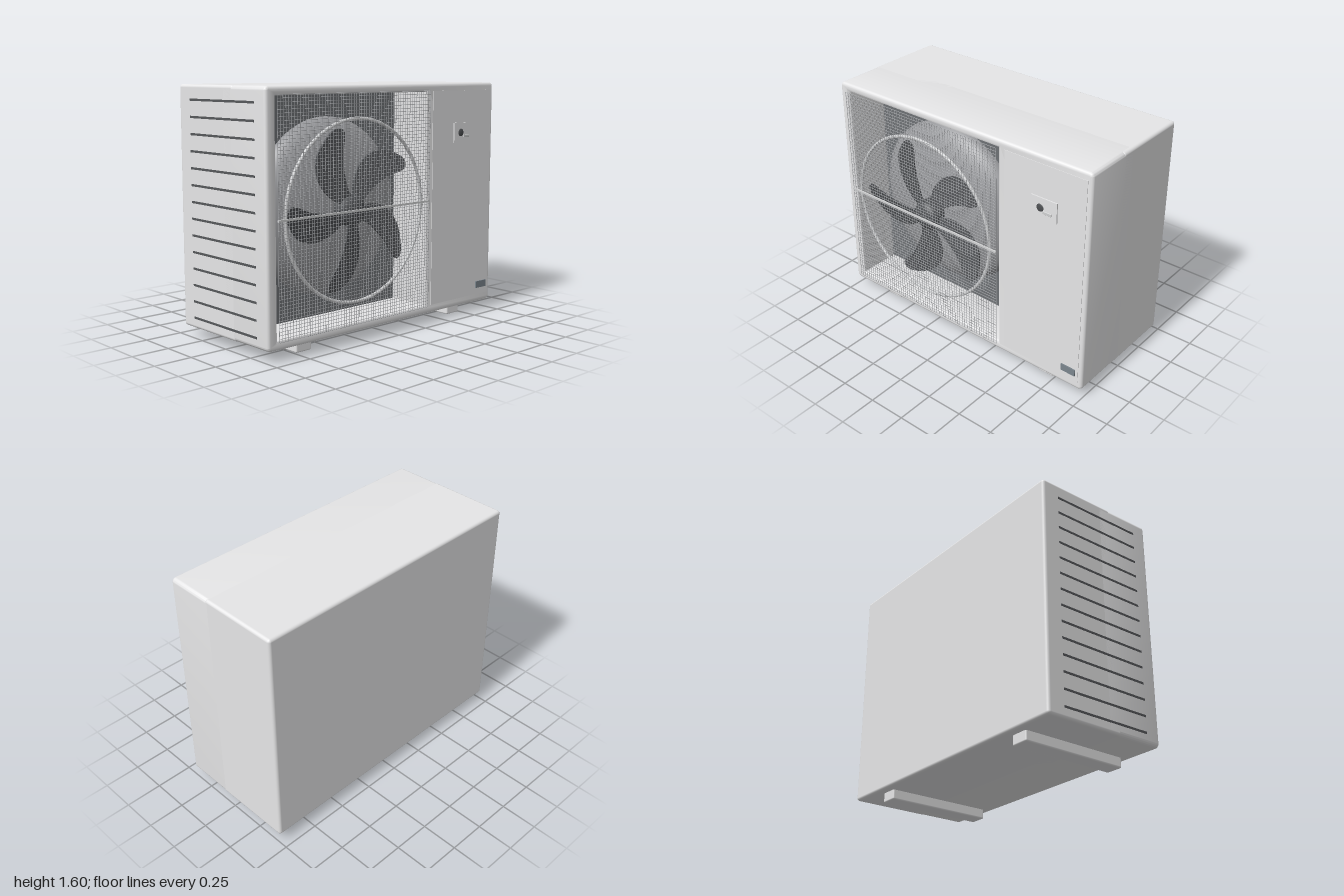
import * as THREE from 'three';
import { toCreasedNormals, mergeGeometries } from 'three/addons/utils/BufferGeometryUtils.js';
import { RoundedBoxGeometry } from 'three/addons/geometries/RoundedBoxGeometry.js';

const material = (name, color) => {
  const m = new THREE.MeshStandardMaterial({ color });
  m.name = name;
  return m;
};

// Rectangle path with rounded corners
function roundedRect(path, x0, y0, x1, y1, r) {
  path.moveTo(x0 + r, y0);
  path.lineTo(x1 - r, y0);
  path.absarc(x1 - r, y0 + r, r, -Math.PI / 2, 0);
  path.lineTo(x1, y1 - r);
  path.absarc(x1 - r, y1 - r, r, 0, Math.PI / 2);
  path.lineTo(x0 + r, y1);
  path.absarc(x0 + r, y1 - r, r, Math.PI / 2, Math.PI);
  path.lineTo(x0, y0 + r);
  path.absarc(x0 + r, y0 + r, r, Math.PI, Math.PI * 1.5);
  return path;
}

export function createModel() {
  const casing = material('casing light grey', 0xe6e6e7);
  const inner = material('inner panel grey', 0x6e7175);
  const shroud = material('shroud mid grey', 0x97989b);
  const wire = material('wire grey', 0xabadb0);
  const fanDark = material('fan charcoal', 0x4e5053);
  const trim = material('trim pale grey', 0xd0d1d2);
  const slot = material('slot dark grey', 0x56585b);
  const label = material('label blue grey', 0x7b858d);

  const model = new THREE.Group();
  model.name = 'outdoorUnit';
  const add = (name, geo, mat, x = 0, y = 0, z = 0, parent = model) => {
    const mesh = new THREE.Mesh(geo, mat);
    mesh.name = name;
    mesh.position.set(x, y, z);
    parent.add(mesh);
    return mesh;
  };
  // Box placed by its limits
  const block = (name, mat, x0, x1, y0, y1, z0, z1, r = 0) => {
    const s = [x1 - x0, y1 - y0, z1 - z0];
    const geo = r ? new RoundedBoxGeometry(...s, 3, r) : new THREE.BoxGeometry(...s);
    return add(name, geo, mat, (x0 + x1) / 2, (y0 + y1) / 2, (z0 + z1) / 2);
  };

  // Casing: solid rear, and a bevelled front shell with the fan opening
  const b = 0.02;
  block('casingRear', casing, -1, 1, 0.065, 1.6, -0.447, 0.11, b);
  const outline = roundedRect(new THREE.Shape(), -1 + b, 0.065 + b, 1 - b, 1.6 - b, 0.008);
  outline.holes.push(roundedRect(new THREE.Path(), -0.945, 0.105, 0.35, 1.565, 0.008));
  const shell = new THREE.ExtrudeGeometry(outline, {
    depth: 0.38, bevelEnabled: true, bevelSize: b, bevelThickness: b,
    bevelSegments: 4, curveSegments: 4,
  });
  add('casingFront', toCreasedNormals(shell, 0.6), casing, 0, 0, b);

  // Feet rails
  for (const side of [-1, 1]) {
    block('footRail', casing, side * 0.68 - 0.06, side * 0.68 + 0.06, 0, 0.075, -0.388, 0.36, 0.01);
  }

  // Slots on the right side
  for (let i = 0; i < 14; i++) {
    const y = 0.135 + i * 0.1055;
    block('sideSlot', slot, -1.002, -0.99, y - 0.007, y + 0.007, -0.33, 0.315);
  }

  // Fan chamber: rear panel and domed shroud
  const cx = -0.3, cy = 0.828;
  block('chamberPanel', inner, -0.94, 0.345, 0.11, 1.56, 0.1, 0.12);
  const dome = new THREE.SphereGeometry(0.57, 64, 20, 0, Math.PI * 2, 0, Math.PI / 2);
  dome.rotateX(Math.PI / 2);
  add('shroudDome', dome, shroud, cx, cy, 0.12).scale.z = 0.2 / 0.57;

  // Fan: five curved, pitched blades around a hub
  const fan = new THREE.Group();
  fan.name = 'fan';
  fan.position.set(cx, cy, 0.365);
  model.add(fan);
  const edge = [
    [-0.07, 0.02], [-0.17, 0], [-0.33, 0.016], [-0.45, 0.06], [-0.5, 0.067], [-0.525, 0.035],
    [-0.52, -0.01], [-0.48, -0.075], [-0.41, -0.144], [-0.3, -0.176], [-0.2, -0.16],
    [-0.12, -0.118], [-0.06, -0.06],
  ].map(([x, y]) => new THREE.Vector2(x, y));
  const bladeShape = new THREE.Shape();
  bladeShape.moveTo(edge[0].x, edge[0].y);
  bladeShape.splineThru(edge.slice(1));
  const blade = new THREE.ExtrudeGeometry(bladeShape, { depth: 0.012, bevelEnabled: false, curveSegments: 48 });
  const p = blade.attributes.position;
  for (let i = 0; i < p.count; i++) p.setZ(i, p.getZ(i) + (p.getY(i) + 0.06) * 0.22);
  blade.computeVertexNormals();
  for (let i = 0; i < 5; i++) {
    add('fanBlade', blade, fanDark, 0, 0, 0, fan).rotation.z = (i * Math.PI * 2) / 5;
  }
  const hubProfile = [[0.1, -0.08], [0.1, 0.02], [0.09, 0.038], [0.06, 0.052], [0.03, 0.058], [0, 0.06]]
    .map(([r, y]) => new THREE.Vector2(r, y));
  const hub = new THREE.LatheGeometry(hubProfile, 40);
  hub.rotateX(Math.PI / 2);
  add('fanHub', hub, fanDark, 0, 0, 0, fan);

  // Guard: ring, fine round-wire mesh and crossbar
  add('guardRing', new THREE.TorusGeometry(0.568, 0.011, 10, 96), trim, cx, cy, 0.425);
  const wires = [];
  const x0 = -0.932, x1 = 0.335, y0 = 0.12, y1 = 1.552, r = 0.0016;
  const columns = 60, rows = 68;
  for (let i = 0; i <= columns; i++) {
    wires.push(new THREE.CylinderGeometry(r, r, y1 - y0, 8, 1, true)
      .translate(x0 + ((x1 - x0) * i) / columns, (y0 + y1) / 2, 0.441));
  }
  for (let i = 0; i <= rows; i++) {
    wires.push(new THREE.CylinderGeometry(r, r, x1 - x0, 8, 1, true).rotateZ(Math.PI / 2)
      .translate((x0 + x1) / 2, y0 + ((y1 - y0) * i) / rows, 0.443));
  }
  add('guardMesh', mergeGeometries(wires), wire);
  block('guardCrossbar', trim, -0.935, 0.337, cy - 0.001, cy + 0.012, 0.438, 0.449);

  // Service door
  block('serviceDoor', casing, 0.384, 0.97, 0.12, 1.55, 0.41, 0.423);

  // Lock plate with knob and small lever
  block('lockPlate', casing, 0.588, 0.775, 1.2, 1.335, 0.415, 0.431);
  const knob = add('lockKnob', new THREE.SphereGeometry(0.026, 24, 16), fanDark, 0.655, 1.268, 0.43);
  knob.scale.z = 0.25;
  block('lockLever', trim, 0.678, 0.738, 1.235, 1.254, 0.425, 0.436, 0.003);

  // Rating label
  block('ratingLabel', label, 0.845, 0.95, 0.165, 0.212, 0.422, 0.431);

  return model;
}
